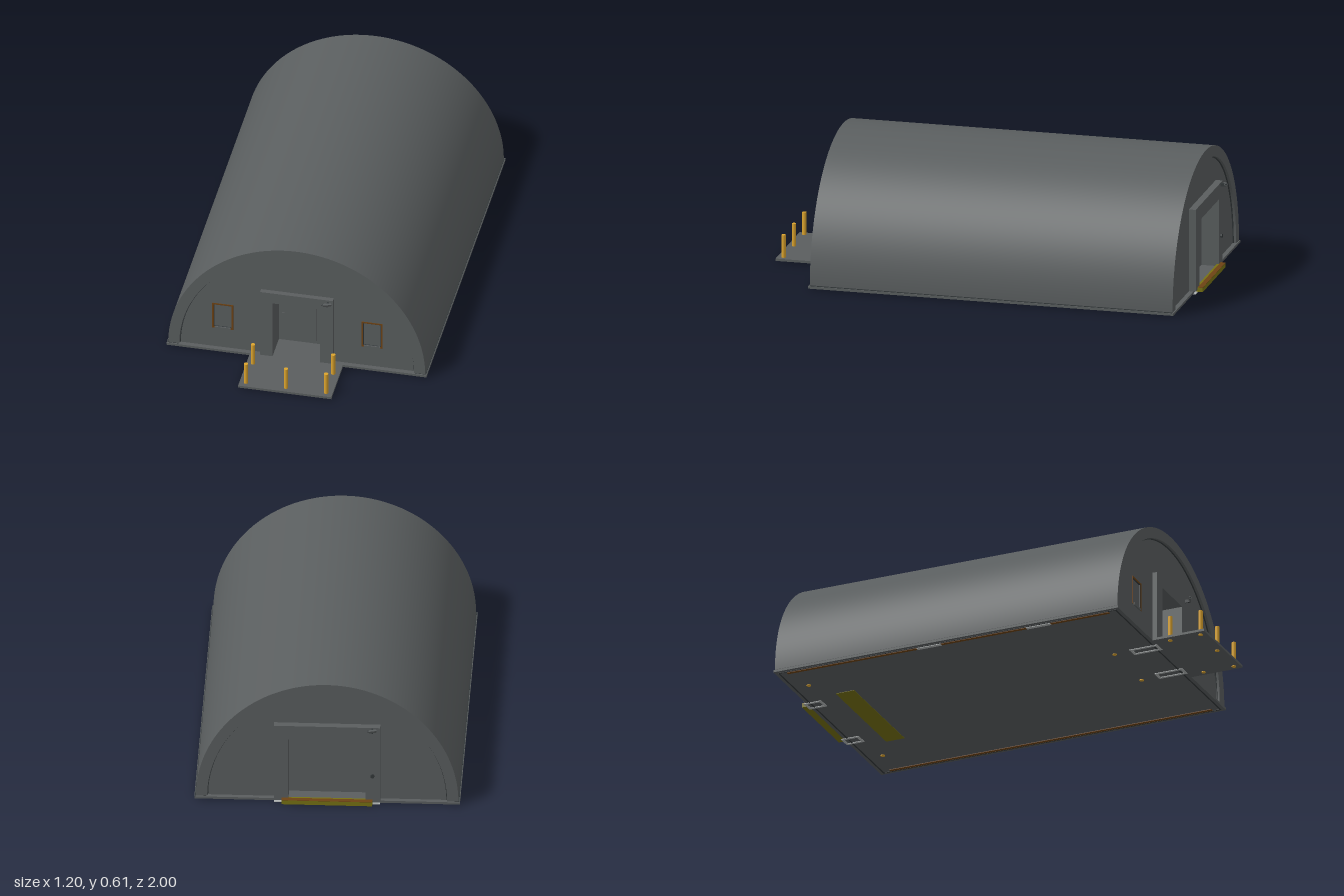
import * as THREE from 'three';
import { toCreasedNormals } from 'three/addons/utils/BufferGeometryUtils.js';

const paint = (name, color) => {
  const m = new THREE.MeshStandardMaterial({ color });
  m.name = name;
  return m;
};

export function createModel() {
  const steel = paint('steel grey', 0x5a5e5f);
  const dark = paint('dark grey', 0x33383a);
  const pale = paint('pale grey', 0xb0b4b4);
  const amber = paint('amber', 0xdca42e);
  const rust = paint('rust brown', 0x6e4314);
  const olive = paint('hazard yellow', 0x777213);

  const model = new THREE.Group();
  model.name = 'hangar';

  const add = (name, geo, mat, parent = model) => {
    const mesh = new THREE.Mesh(geo, mat);
    mesh.name = name;
    parent.add(mesh);
    return mesh;
  };
  // Box given by its extents on each axis
  const box = (name, mat, x0, x1, y0, y1, z0, z1, parent) => {
    const mesh = add(name, new THREE.BoxGeometry(x1 - x0, y1 - y0, z1 - z0), mat, parent);
    mesh.position.set((x0 + x1) / 2, (y0 + y1) / 2, (z0 + z1) / 2);
    return mesh;
  };
  const rectPath = (x0, x1, y0, y1) => {
    const p = new THREE.Path();
    p.moveTo(x0, y0).lineTo(x0, y1).lineTo(x1, y1).lineTo(x1, y0).closePath();
    return p;
  };
  const rectRing = (x0, x1, y0, y1, t) => {
    const s = new THREE.Shape([[x0, y0], [x1, y0], [x1, y1], [x0, y1]].map(p => new THREE.Vector2(...p)));
    s.holes.push(rectPath(x0 + t, x1 - t, y0 + t, y1 - t));
    return s;
  };
  const extrude = (shape, depth, z0) => {
    const g = new THREE.ExtrudeGeometry(shape, { depth, bevelEnabled: false, curveSegments: 64 });
    g.translate(0, 0, z0);
    return toCreasedNormals(g, 0.5);
  };

  // Ground slab and porch
  const BASE = 0.015, UNDER = 0.004;
  box('slab', steel, -0.6, 0.6, UNDER, BASE, -0.956, 0.747);
  box('porch', steel, -0.215, 0.215, UNDER, BASE, 0.747, 1);

  // Barrel roof: a half ring running the whole length
  const R = 0.593, r = 0.542, Y = 0.017;
  const halfRing = (outer, inner) => {
    const s = new THREE.Shape();
    s.absarc(0, Y, outer, 0, Math.PI, false);
    s.lineTo(-inner, Y);
    s.absarc(0, Y, inner, Math.PI, 0, true);
    s.closePath();
    return s;
  };
  add('barrelRoof', extrude(halfRing(R, r), 1.692, -0.951), steel);
  for (const s of [-1, 1]) {
    box('roofFoot', dark, s * 0.572 - 0.025, s * 0.572 + 0.025, 0.012, 0.018, -0.95, 0.741);
  }

  // Dark seam where each recessed end wall meets the roof
  const seam = halfRing(r + 0.002, r - 0.004);
  add('frontSeam', extrude(seam, 0.008, 0.722), dark);
  add('backSeam', extrude(seam, 0.008, -0.94), dark);

  // End walls, notched for the doors
  const endWall = (halfDoor, doorTop, holes) => {
    const s = new THREE.Shape();
    s.absarc(0, Y, r, 0, Math.PI, false);
    s.lineTo(-r, BASE).lineTo(-halfDoor, BASE).lineTo(-halfDoor, doorTop);
    s.lineTo(halfDoor, doorTop).lineTo(halfDoor, BASE).lineTo(r, BASE);
    s.closePath();
    s.holes.push(...holes);
    return s;
  };
  const windows = [[-0.393, -0.296], [0.296, 0.393]];
  add('frontWall', extrude(endWall(0.14, 0.34, windows.map(([a, b]) => rectPath(a, b, 0.118, 0.255))), 0.03, 0.695), steel);
  add('backWall', extrude(endWall(0.2, 0.36, []), 0.03, -0.935), steel);

  // Windows: rust surround, dark inner edge, grey shutter and sill
  for (const [a, b] of windows) {
    const g = new THREE.Group();
    g.name = 'window';
    model.add(g);
    add('windowFrame', extrude(rectRing(a, b, 0.118, 0.255, 0.007), 0.03, 0.697), rust, g);
    add('windowSeal', extrude(rectRing(a + 0.006, b - 0.006, 0.124, 0.249, 0.003), 0.02, 0.705), dark, g);
    box('windowShutter', steel, a + 0.004, b - 0.004, 0.122, 0.251, 0.7, 0.72, g);
    box('windowSill', steel, a + 0.012, b - 0.012, 0.116, 0.127, 0.715, 0.73, g);
  }

  // Door frame: two jambs and a lintel, deep enough to form a recess
  const doorFrame = (name, outer, inner, top, head, z0, z1) => {
    const g = new THREE.Group();
    g.name = name;
    model.add(g);
    for (const s of [-1, 1]) {
      const m = s * (outer + inner) / 2, h = (outer - inner) / 2;
      box('jamb', steel, m - h, m + h, BASE, top, z0, z1, g);
      // Pale channel under the slab that carries the jamb
      const channel = add('jambChannel', extrude(rectRing(m - h, m + h, -z1, -z0, 0.012), 0.004, 0), pale, g);
      channel.rotation.x = -Math.PI / 2;
      channel.position.y = 0.001;
    }
    box('lintel', steel, -inner, inner, head, top, z0, z1, g);
    return g;
  };

  // Front entrance with a small door at the end of its recess
  const entry = doorFrame('frontEntrance', 0.168, 0.11, 0.365, 0.31, 0.61, 0.748);
  box('entranceBack', steel, -0.168, 0.168, BASE, 0.365, 0.6, 0.612, entry);
  box('frontDoor', steel, -0.065, 0.065, 0.03, 0.25, 0.61, 0.617, entry);
  box('frontDoorPad', steel, -0.094, -0.082, 0.14, 0.165, 0.61, 0.615, entry);

  // Back loading door
  const loading = doorFrame('backEntrance', 0.24, 0.175, 0.4, 0.33, -0.967, -0.88);
  box('loadingDoor', steel, -0.2, 0.2, BASE, 0.36, -0.885, -0.875, loading);
  const knob = add('doorButton', new THREE.CylinderGeometry(0.009, 0.009, 0.01, 16), dark, loading);
  knob.rotation.x = Math.PI / 2;
  knob.position.set(-0.205, 0.15, -0.97);

  // Loading sill: yellow lip with a thin rust top
  box('sillLip', olive, -0.205, 0.205, 0.004, 0.024, -0.99, -0.956);
  box('sillTop', rust, -0.205, 0.205, 0.024, 0.0255, -0.99, -0.967);

  // Bollards, set through the porch
  for (const [x, z] of [[-0.185, 0.82], [0.185, 0.82], [-0.185, 0.97], [0.185, 0.97], [0, 0.97]]) {
    const post = add('bollard', new THREE.CylinderGeometry(0.01, 0.01, 0.121, 16), amber);
    post.position.set(x, 0.0605, z);
  }

  // Security cameras: bracket, tilted body and lens
  const camera = (x, y, z, yaw) => {
    const g = new THREE.Group();
    g.name = 'securityCamera';
    g.position.set(x, y, z);
    g.rotation.y = yaw;
    model.add(g);
    box('cameraArm', dark, -0.003, 0.003, -0.012, 0.003, -0.014, 0.008, g);
    const body = box('cameraBody', steel, -0.02, 0.02, -0.005, 0.005, 0.003, 0.014, g);
    body.rotation.set(0.2, 0.45, -0.2);
    const lens = add('cameraLens', new THREE.CylinderGeometry(0.004, 0.004, 0.006, 12), dark, g);
    lens.rotation.z = Math.PI / 2;
    lens.position.set(-0.018, 0.004, 0.016);
  };
  camera(0.145, 0.355, 0.762, 0);
  camera(-0.205, 0.395, -0.981, Math.PI);

  // Underside: dark border seam, edge rails with pale joints, warning plate and bolts
  const border = add('borderSeam', extrude(rectRing(-0.585, 0.585, -0.73, 0.94, 0.006), 0.004, 0), dark);
  border.rotation.x = -Math.PI / 2;
  border.position.y = 0.002;
  for (const s of [-1, 1]) {
    box('edgeRail', rust, s * 0.568 - 0.008, s * 0.568 + 0.008, 0.001, 0.006, -0.9, 0.69);
    for (const [x, z] of [[0.41, -0.865], [0.15, 0.53]]) {
      const bolt = add('bolt', new THREE.CylinderGeometry(0.01, 0.01, 0.006, 12), amber);
      bolt.position.set(s * x, 0.003, z);
    }
  }
  for (const z of [0.34, -0.2]) box('railJoint', pale, -0.577, -0.559, 0, 0.006, z - 0.06, z + 0.06);
  box('warningPlate', olive, -0.28, 0.28, 0.002, 0.006, -0.79, -0.7);

  return model;
}
